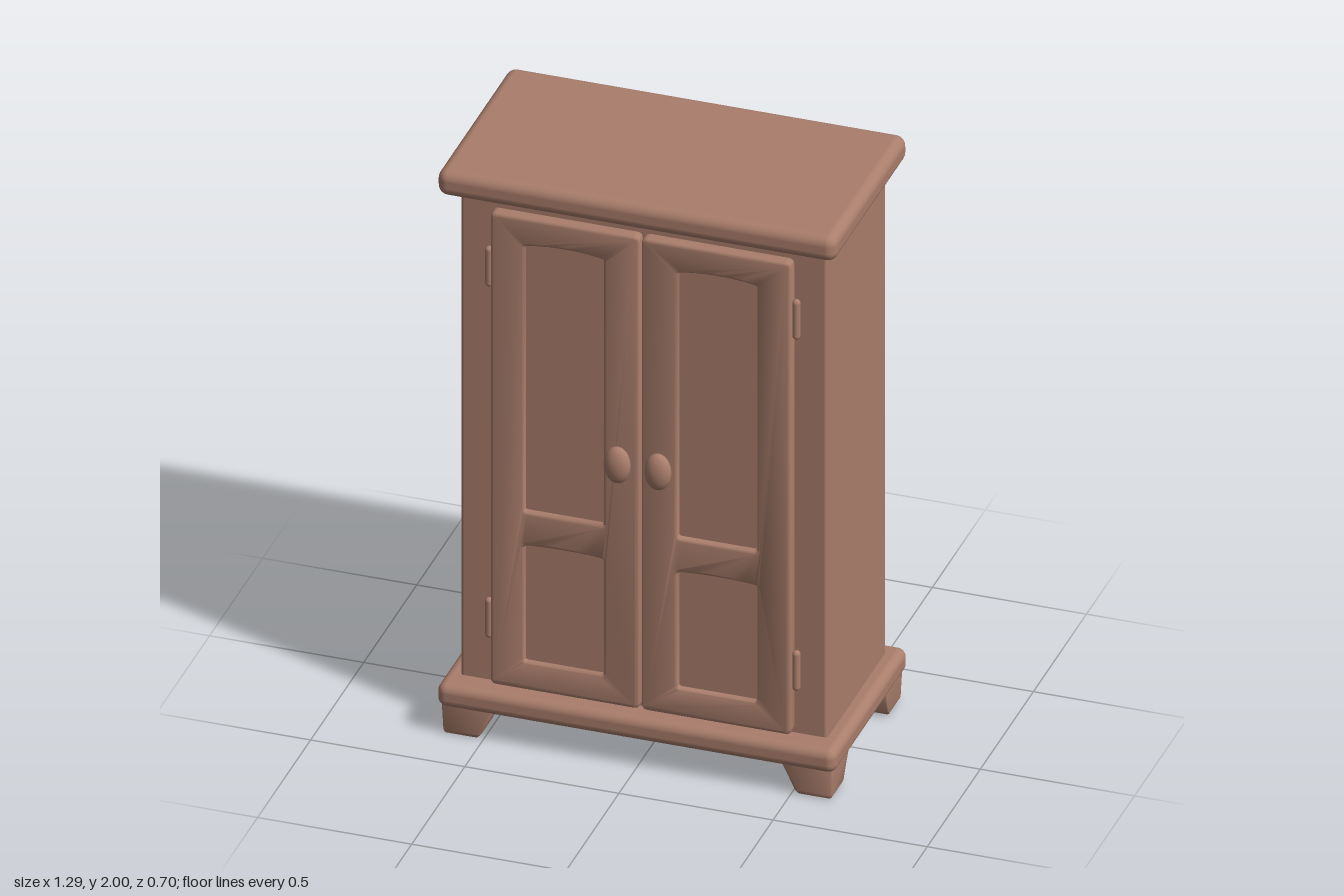
import * as THREE from 'three';
import { mergeVertices, toCreasedNormals } from 'three/addons/utils/BufferGeometryUtils.js';
import { RoundedBoxGeometry } from 'three/addons/geometries/RoundedBoxGeometry.js';

const wood = new THREE.MeshStandardMaterial({ color: 0xaa7e6c });
wood.name = 'wood';

function add(parent, name, geometry, x = 0, y = 0, z = 0) {
  const mesh = new THREE.Mesh(geometry, wood);
  mesh.name = name;
  mesh.position.set(x, y, z);
  parent.add(mesh);
  return mesh;
}

// Rounded block given by its lower and upper limits
function block(parent, name, [x0, y0, z0], [x1, y1, z1], radius) {
  const geometry = new RoundedBoxGeometry(x1 - x0, y1 - y0, z1 - z0, 4, radius);
  return add(parent, name, geometry, (x0 + x1) / 2, (y0 + y1) / 2, (z0 + z1) / 2);
}

// Rectangle with rounded corners and a slightly arched top
function panelOutline(target, x0, y0, x1, y1, r, arch) {
  target.moveTo(x0 + r, y0);
  target.lineTo(x1 - r, y0);
  target.quadraticCurveTo(x1, y0, x1, y0 + r);
  target.lineTo(x1, y1 - r);
  target.quadraticCurveTo(x1, y1, x1 - r, y1);
  target.quadraticCurveTo((x0 + x1) / 2, y1 + arch, x0 + r, y1);
  target.quadraticCurveTo(x0, y1, x0, y1 - r);
  target.lineTo(x0, y0 + r);
  target.quadraticCurveTo(x0, y0, x0 + r, y0);
  return target;
}

function doorGeometry(side) {
  const span = (a, b) => (side > 0 ? [a, b] : [-b, -a]);
  const [x0, x1] = span(0.003, 0.488);
  const [p0, p1] = span(0.121, 0.377);
  const shape = panelOutline(new THREE.Shape(), x0, 0.185, x1, 1.86, 0.02, 0);
  shape.holes.push(
    panelOutline(new THREE.Path(), p0, 0.285, p1, 0.695, 0.008, 0.01),
    panelOutline(new THREE.Path(), p0, 0.818, p1, 1.758, 0.008, 0.02),
  );
  const geometry = new THREE.ExtrudeGeometry(shape, {
    depth: 0.03, bevelEnabled: true, bevelThickness: 0.012, bevelSize: 0.012,
    bevelOffset: -0.012, bevelSegments: 4, curveSegments: 6,
  });
  return toCreasedNormals(geometry, 0.6);
}

// Bracket foot: the two inner faces taper in towards the floor
function footGeometry(sx, sz) {
  const geometry = new RoundedBoxGeometry(0.175, 0.13, 0.17, 4, 0.016);
  const p = geometry.attributes.position;
  for (let i = 0; i < p.count; i++) {
    const down = THREE.MathUtils.clamp((0.035 - p.getY(i)) / 0.1, 0, 1);
    const inX = 0.5 - (p.getX(i) * sx) / 0.175;
    const inZ = 0.5 - (p.getZ(i) * sz) / 0.17;
    p.setX(i, p.getX(i) + sx * down * (0.055 * inX - 0.006 * (1 - inX)));
    p.setZ(i, p.getZ(i) + sz * down * (0.05 * inZ - 0.006 * (1 - inZ)));
  }
  geometry.deleteAttribute('normal');
  geometry.deleteAttribute('uv');
  const merged = mergeVertices(geometry, 1e-4);
  return toCreasedNormals(merged, 0.7);
}

export function createModel() {
  const model = new THREE.Group();
  model.name = 'wardrobe';

  // Carcass, cornice and plinth
  block(model, 'body', [-0.595, 0.15, -0.29], [0.595, 1.94, 0.265], 0.012);
  block(model, 'top', [-0.647, 1.91, -0.347], [0.647, 2, 0.347], 0.034);
  block(model, 'base', [-0.647, 0.098, -0.348], [0.647, 0.18, 0.348], 0.03);

  // Feet
  for (const sx of [-1, 1]) {
    for (const sz of [-1, 1]) {
      add(model, 'foot', footGeometry(sx, sz), sx * 0.549, 0.065, sz * 0.25);
    }
  }

  // Doors with sunken panels, knobs and hinges
  for (const side of [-1, 1]) {
    const door = new THREE.Group();
    door.name = side > 0 ? 'leftDoor' : 'rightDoor';
    model.add(door);
    add(door, 'doorFrame', doorGeometry(side), 0, 0, 0.258);

    for (const [y0, y1] of [[0.27, 0.71], [0.8, 1.78]]) {
      const panel = new THREE.BoxGeometry(0.28, y1 - y0, 0.02);
      add(door, 'doorPanel', panel, side * 0.249, (y0 + y1) / 2, 0.271);
    }

    const knob = add(door, 'knob', new THREE.SphereGeometry(1, 28, 18), side * 0.066, 1.057, 0.325);
    knob.scale.set(0.043, 0.063, 0.029);
    const stem = new THREE.CylinderGeometry(0.018, 0.018, 0.04, 16);
    stem.rotateX(Math.PI / 2);
    add(door, 'knobStem', stem, side * 0.066, 1.057, 0.305);

    for (const y of [0.407, 1.653]) {
      const hinge = new THREE.CapsuleGeometry(0.013, 0.115, 6, 14);
      add(door, 'hinge', hinge, side * 0.498, y, 0.275);
    }
  }

  return model;
}
